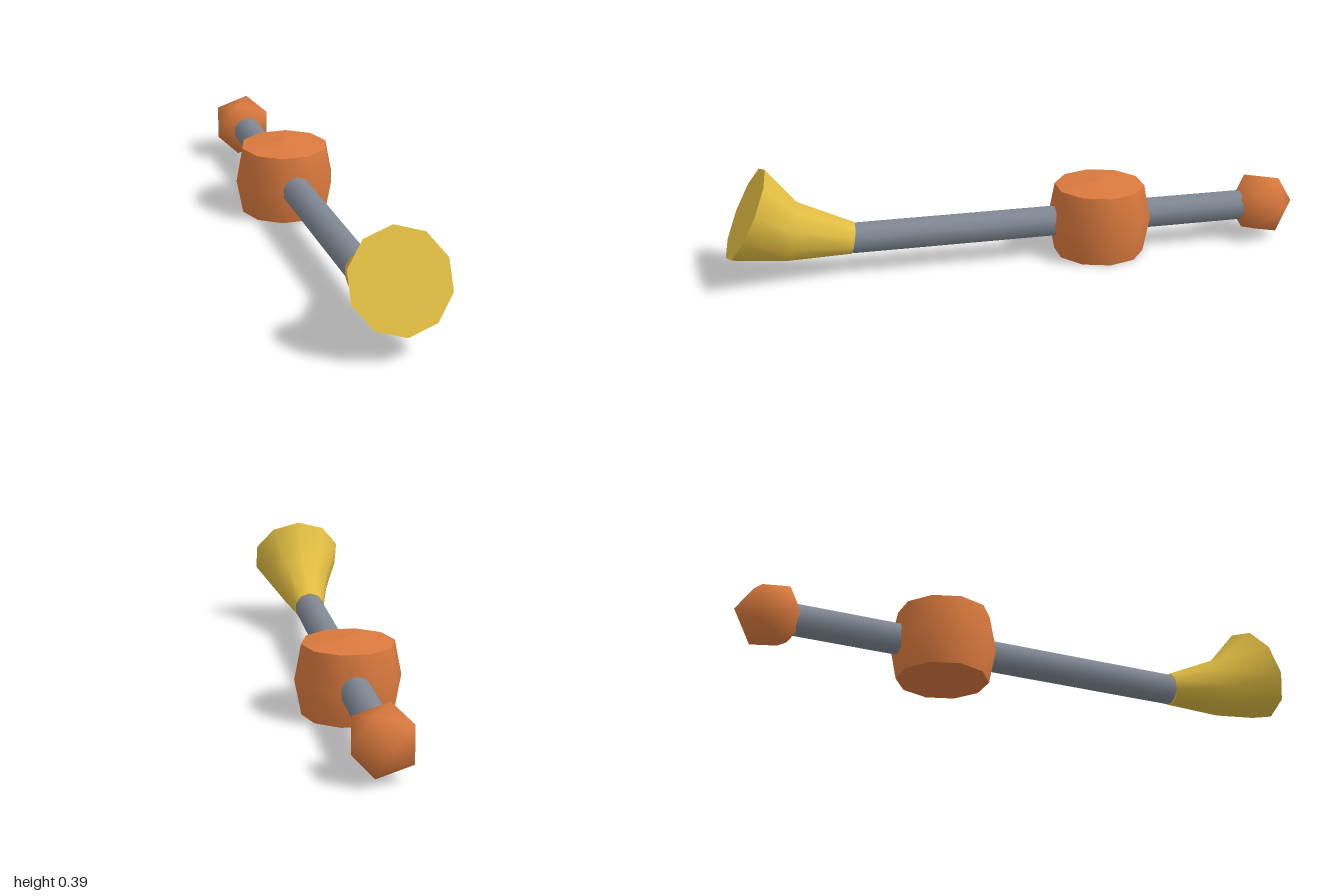
import * as THREE from 'three';

const SIDES = 10;
const AXIS_Y = 0.121; // height of the rod's centre line

// One tilted ring of points; a positive tilt leans its top backwards.
function ring({ y, z, r, tilt }) {
  const t = THREE.MathUtils.degToRad(tilt);
  return Array.from({ length: SIDES }, (_, i) => {
    const a = (i / SIDES) * Math.PI * 2;
    const up = r * Math.cos(a);
    return [r * Math.sin(a), y + up * Math.cos(t), z - up * Math.sin(t)];
  });
}

function indexed(points, index) {
  const g = new THREE.BufferGeometry();
  g.setAttribute('position', new THREE.Float32BufferAttribute(points.flat(), 3));
  g.setIndex(index);
  g.computeVertexNormals();
  return g;
}

// Smooth wall through a series of rings, ordered back to front
function loft(sections) {
  const index = [];
  for (let j = 0; j < sections.length - 1; j++) {
    for (let i = 0; i < SIDES; i++) {
      const n = (i + 1) % SIDES;
      const a = j * SIDES + i, b = j * SIDES + n;
      const d = a + SIDES, c = b + SIDES;
      index.push(a, d, b, d, c, b);
    }
  }
  return indexed(sections.flatMap(ring), index);
}

// Flat lid over one ring
function lid(section, front) {
  const index = [];
  for (let i = 1; i < SIDES - 1; i++) {
    index.push(0, ...(front ? [i + 1, i] : [i, i + 1]));
  }
  return indexed(ring(section), index);
}

// Ten-sided lathe with corners on the x axis
function turned(profile) {
  const points = profile.map(([r, y]) => new THREE.Vector2(r, y));
  return new THREE.LatheGeometry(points, SIDES, Math.PI / 2);
}

export function createModel() {
  const orange = new THREE.MeshStandardMaterial({ name: 'orange', color: 0xdb7a3e });
  const yellow = new THREE.MeshStandardMaterial({ name: 'yellow', color: 0xe0bc42 });
  const grey = new THREE.MeshStandardMaterial({ name: 'grey', color: 0x808894 });

  const model = new THREE.Group();
  model.name = 'model';
  const add = (parent, name, geometry, material) => {
    const mesh = new THREE.Mesh(geometry, material);
    mesh.name = name;
    parent.add(mesh);
    return mesh;
  };

  // Long straight rod
  const rod = new THREE.CylinderGeometry(0.053, 0.053, 1.43, SIDES);
  rod.rotateX(Math.PI / 2);
  add(model, 'rod', rod, grey).position.set(0, AXIS_Y, -0.135);

  // Barrel-shaped drum with a shallow peaked top
  const drum = new THREE.Group();
  drum.name = 'drum';
  drum.position.z = -0.286;
  add(drum, 'drumWall', turned([[0.155, 0], [0.178, 0.121], [0.155, 0.242]]), orange);
  add(drum, 'drumTop', turned([[0.155, 0.242], [0, 0.262]]), orange);
  add(drum, 'drumBase', turned([[0, 0], [0.155, 0]]), orange);
  model.add(drum);

  // Twenty-faced end knob, one corner pointing straight back, smoothly shaded
  const knob = new THREE.IcosahedronGeometry(0.117, 0);
  knob.rotateX(Math.atan(2 / (1 + Math.sqrt(5))));
  knob.rotateZ(-Math.PI / 2);
  const normals = knob.attributes.position.clone();
  knob.setAttribute('normal', normals);
  knob.normalizeNormals();
  add(model, 'endKnob', knob, orange).position.set(0, AXIS_Y, -0.883);

  // Flared bell curving upwards, closed at both ends
  const sections = [
    { y: 0.122, z: 0.577, r: 0.056, tilt: 10 },
    { y: 0.166, z: 0.785, r: 0.105, tilt: 15 },
    { y: 0.2385, z: 0.9275, r: 0.166, tilt: 26 },
  ];
  const bell = new THREE.Group();
  bell.name = 'bell';
  add(bell, 'bellWall', loft(sections), yellow);
  add(bell, 'bellMouth', lid(sections[2], true), yellow);
  add(bell, 'bellBack', lid(sections[0], false), yellow);
  model.add(bell);

  return model;
}
